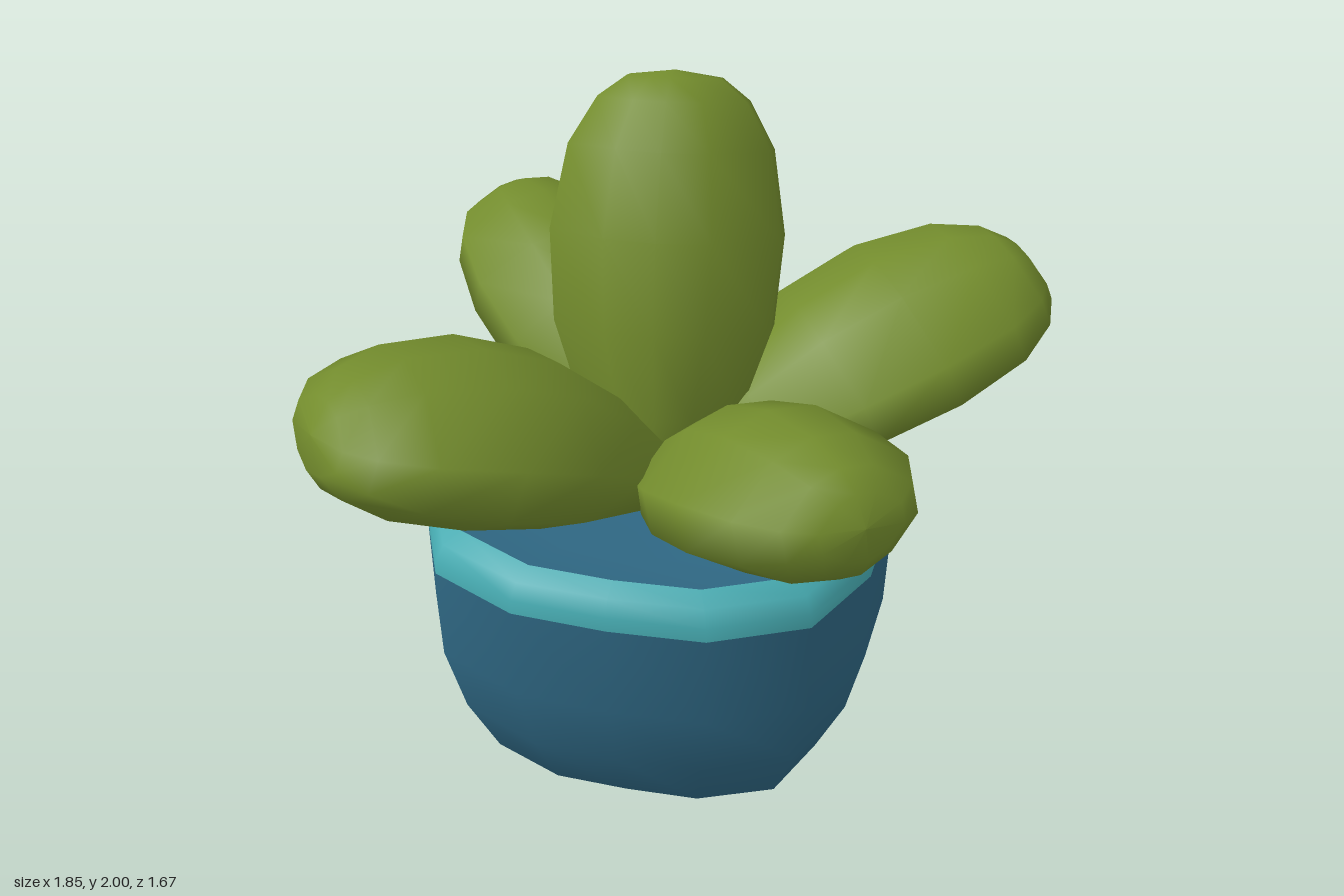
import * as THREE from 'three';

const potBlue = new THREE.MeshStandardMaterial({ color: 0x2f6884 });
potBlue.name = 'potBlue';
const rimTeal = new THREE.MeshStandardMaterial({ color: 0x46aab0 });
rimTeal.name = 'rimTeal';
const leafGreen = new THREE.MeshStandardMaterial({ color: 0x738c2d });
leafGreen.name = 'leafGreen';

// Skin a list of equal-length rings of Vector3 (counterclockwise about the path)
function loft(rings) {
  const n = rings[0].length;
  const index = [];
  for (let i = 0; i < rings.length - 1; i++) {
    for (let j = 0; j < n; j++) {
      const k = (j + 1) % n;
      const a = i * n + j, b = i * n + k, c = a + n, d = b + n;
      index.push(a, b, c, b, d, c);
    }
  }
  const geometry = new THREE.BufferGeometry().setFromPoints(rings.flat());
  geometry.setIndex(index);
  geometry.computeVertexNormals();
  return geometry;
}

// Rounded-square pot section; points are [half width, height, squareness]
function potPart(name, profile, material) {
  const sides = 16;
  const rings = profile.map(([r, y, power = 3]) => Array.from({ length: sides }, (_, j) => {
    const a = (j / sides) * Math.PI * 2;
    const s = Math.sin(a), c = Math.cos(a);
    const k = r / Math.pow(Math.abs(s) ** power + Math.abs(c) ** power, 1 / power);
    return new THREE.Vector3(s * k, y, c * k);
  }));
  const mesh = new THREE.Mesh(loft(rings), material);
  mesh.name = name;
  mesh.position.set(-0.12, 0, -0.047);
  return mesh;
}

// Position along the leaf and its fullness there
const LEAF_PROFILE = [[0, 0.001], [0, 0.38], [0.2, 0.7], [0.42, 0.95], [0.64, 1],
  [0.84, 0.87], [0.95, 0.64], [1, 0.4], [1.015, 0.001]];

// Half of the leaf section, ridge to keel: [towards upper side, sideways]
const HALF_SECTION = [[1, 0], [0.87, 0.45], [0.3, 0.98], [-0.3, 0.98], [-0.8, 0.5], [-1, 0]];
const LEAF_SECTION = [...HALF_SECTION,
  ...HALF_SECTION.slice(1, -1).reverse().map(([u, s]) => [u, -s])];

// Plump leaf from base to tip, slightly bowed towards its upper side
function leaf(name, base, tip, halfWidth, halfThick, bow = 0.05) {
  const start = new THREE.Vector3(...base), end = new THREE.Vector3(...tip);
  const along = end.clone().sub(start).normalize();
  const side = along.clone().cross(new THREE.Vector3(0, 1, 0)).normalize();
  const upper = side.clone().cross(along);
  const rings = LEAF_PROFILE.map(([t, f]) => {
    const centre = start.clone().lerp(end, t)
      .addScaledVector(upper, bow * Math.sin(Math.PI * Math.min(t, 1)));
    return LEAF_SECTION.map(([u, s]) => centre.clone()
      .addScaledVector(upper, u * halfThick * f)
      .addScaledVector(side, s * halfWidth * f));
  });
  const mesh = new THREE.Mesh(loft(rings), leafGreen);
  mesh.name = name;
  return mesh;
}

export function createModel() {
  const model = new THREE.Group();
  model.name = 'pottedSucculent';

  // Pot
  const pot = new THREE.Group();
  pot.name = 'pot';
  pot.add(
    potPart('potBody', [[0.001, 0, 5], [0.34, 0, 5], [0.42, 0.04, 4], [0.51, 0.11, 3.4],
      [0.6, 0.31, 3.1], [0.652, 0.53], [0.652, 0.81]], potBlue),
    potPart('potRim', [[0.652, 0.81], [0.648, 0.85], [0.625, 0.895], [0.575, 0.92]], rimTeal),
    potPart('potInside', [[0.575, 0.92], [0.42, 0.89], [0.001, 0.88]], potBlue),
  );
  model.add(pot);

  // Leaves
  const leaves = new THREE.Group();
  leaves.name = 'leaves';
  leaves.add(
    leaf('tallLeaf', [-0.12, 0.88, 0.01], [-0.15, 1.97, -0.32], 0.32, 0.22, 0.04),
    leaf('frontRightLeaf', [-0.13, 0.95, 0.03], [-0.8, 1.38, 0.71], 0.36, 0.235),
    leaf('frontLeftLeaf', [-0.07, 0.94, 0.05], [0.53, 1.27, 0.64], 0.31, 0.21),
    leaf('backLeftLeaf', [-0.05, 0.95, -0.04], [0.82, 1.39, -0.56], 0.37, 0.23),
    leaf('backRightLeaf', [-0.14, 0.95, -0.04], [-0.78, 1.37, -0.73], 0.29, 0.21),
  );
  model.add(leaves);
  return model;
}
